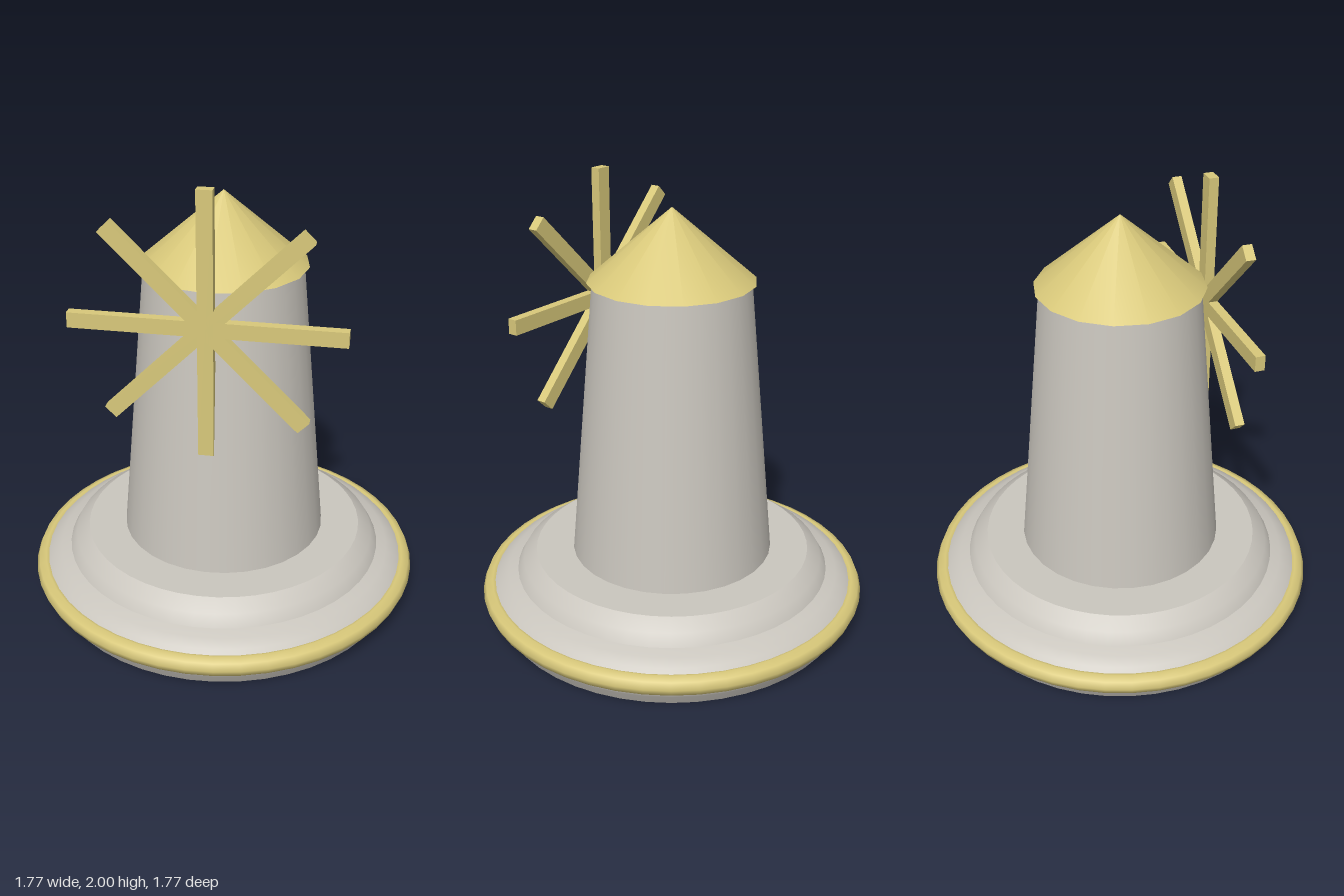
import * as THREE from 'three';

export function createModel() {
  const model = new THREE.Group();
  model.name = 'windmill';

  const stone = new THREE.MeshStandardMaterial({ color: 0xcac6be });
  stone.name = 'pale stone';
  const straw = new THREE.MeshStandardMaterial({ color: 0xd8c87a });
  straw.name = 'straw yellow';

  const add = (name, geometry, material, y = 0, parent = model) => {
    const mesh = new THREE.Mesh(geometry, material);
    mesh.name = name;
    mesh.position.y = y;
    parent.add(mesh);
    return mesh;
  };
  const lathe = (points) =>
    new THREE.LatheGeometry(points.map(([r, y]) => new THREE.Vector2(r, y)), 48);

  // Round base in smooth bands, with hard edges where the bands meet
  add('baseUnderside', lathe([[0, 0], [0.81, 0]]), stone);
  add('baseRim', lathe([[0.81, 0], [0.838, 0.05], [0.85, 0.075], [0.85, 0.13]]), stone);
  add('baseSlope', lathe([[0.85, 0.13], [0.81, 0.172], [0.765, 0.192], [0.715, 0.208]]), stone);
  add('baseStep', lathe([[0.72, 0.206], [0.69, 0.258], [0.63, 0.3]]), stone);
  add('baseTop', lathe([[0.63, 0.3], [0, 0.3]]), stone);

  // Trim ring around the base
  const ring = new THREE.TorusGeometry(0.84, 0.044, 8, 48);
  ring.rotateX(Math.PI / 2);
  add('baseTrim', ring, straw, 0.115);

  // Tapered tower and conical roof
  add('tower', new THREE.CylinderGeometry(0.342, 0.458, 1.27, 32), stone, 0.935);
  add('roof', new THREE.ConeGeometry(0.365, 0.315, 16), straw, 1.5675 + 0.1575);

  // Four crossed bars make the eight sails
  const sails = new THREE.Group();
  sails.name = 'sails';
  sails.position.set(0, 1.43, 0.39);
  model.add(sails);
  for (let i = 0; i < 4; i++) {
    const bar = add('sailBar', new THREE.BoxGeometry(0.066, 1.14, 0.042), straw, 0, sails);
    bar.rotation.z = (i * Math.PI) / 4;
  }

  return model;
}
